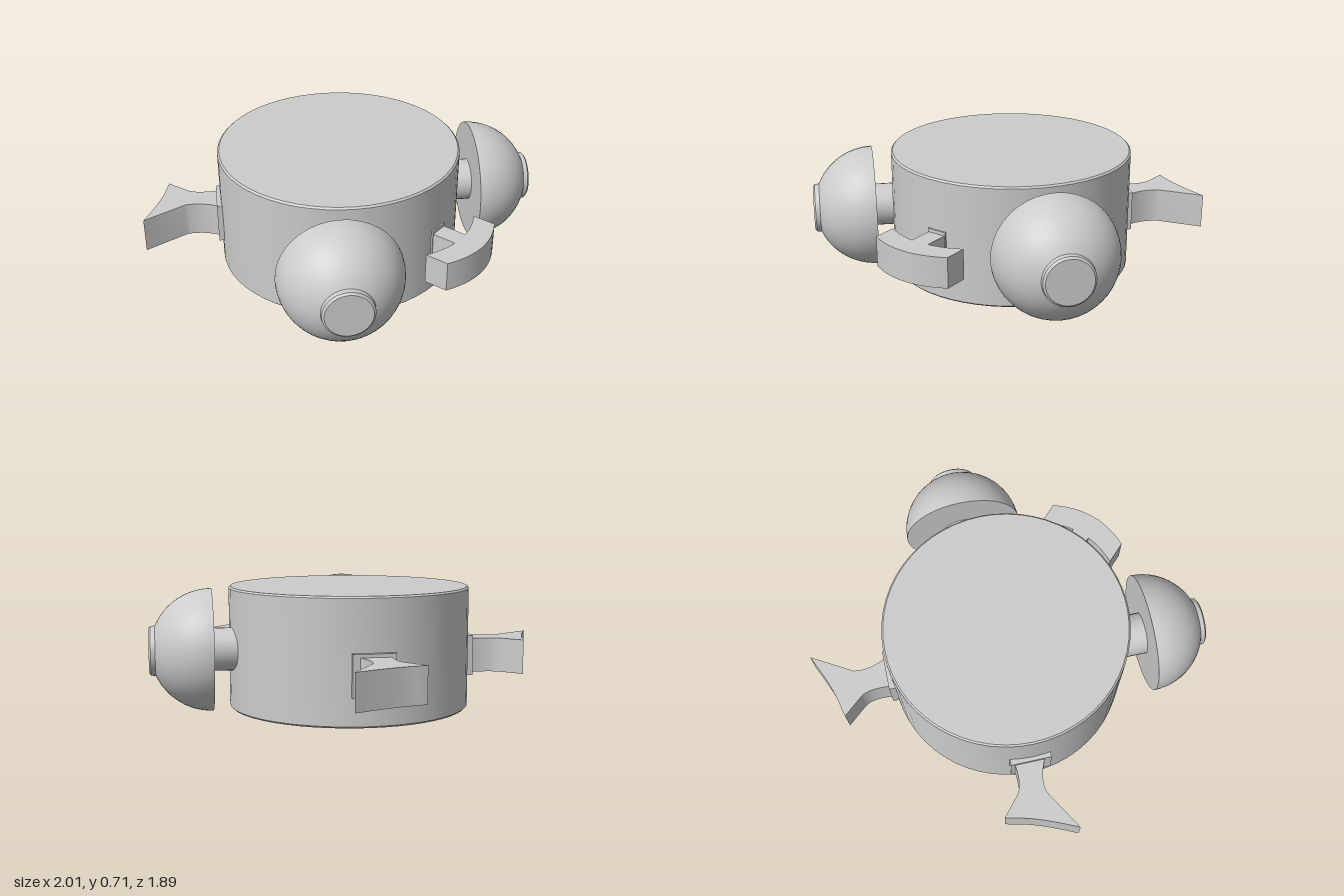
import * as THREE from 'three';
import { toCreasedNormals } from 'three/addons/utils/BufferGeometryUtils.js';

const grey = new THREE.MeshStandardMaterial({ color: 0xcccccc });
const CZ = -0.06; // z of the case centre
const FLOOR = 0.1; // height of the recessed dial

function part(name, geometry, parent) {
  const mesh = new THREE.Mesh(geometry, grey);
  mesh.name = name;
  parent.add(mesh);
  return mesh;
}

const lathe = (pts, sides) =>
  toCreasedNormals(new THREE.LatheGeometry(pts.map(p => new THREE.Vector2(...p)), sides), 0.5);

// Prism from a plan outline in (x, z), between two heights
function plan(shape, y0, y1) {
  const g = new THREE.ExtrudeGeometry(shape, { depth: y1 - y0, bevelEnabled: false, curveSegments: 12 });
  g.rotateX(Math.PI / 2).translate(0, y1, 0);
  return toCreasedNormals(g, 0.5);
}

export function createModel() {
  const model = new THREE.Group();
  model.name = 'alarmClock';

  // Round case lying on its face, dial recessed underneath
  part('case', lathe([[0, FLOOR], [0.645, FLOOR], [0.645, 0], [0.703, 0], [0.713, 0.01],
    [0.713, 0.705], [0.703, 0.715], [0, 0.715]], 56), model).position.z = CZ;

  // Dial: hub, hands and four hour rings
  const dial = new THREE.Group();
  dial.name = 'dial';
  dial.position.set(0, FLOOR, CZ);
  model.add(dial);
  part('hub', new THREE.CylinderGeometry(0.08, 0.08, 0.09, 24), dial).position.y = -0.035;
  for (const [name, length, angle] of [['hourHand', 0.28, 0], ['minuteHand', 0.36, -Math.PI / 2]]) {
    const hand = new THREE.Group();
    hand.name = name;
    hand.rotation.y = angle;
    dial.add(hand);
    part('handBar', new THREE.BoxGeometry(length, 0.04, 0.035), hand).position.set(length / 2, -0.03, 0);
    const tip = new THREE.Shape();
    tip.moveTo(length - 0.06, -0.06);
    tip.lineTo(length + 0.06, 0);
    tip.lineTo(length - 0.06, 0.06);
    part('handTip', plan(tip, -0.06, 0), hand);
  }
  for (let i = 0; i < 4; i++) {
    const a = i * Math.PI / 2;
    const ring = part('hourRing', new THREE.TorusGeometry(0.05, 0.022, 8, 20), dial);
    ring.rotation.x = Math.PI / 2;
    ring.position.set(0.48 * Math.cos(a), -0.01, 0.48 * Math.sin(a));
    const pin = part('hourPin', new THREE.CylinderGeometry(0.018, 0.018, 0.05, 10), dial);
    pin.position.copy(ring.position);
  }

  // Hammer: stem and curved head
  const head = new THREE.Shape();
  head.moveTo(-0.25, 0.88);
  head.quadraticCurveTo(0, 1.015, 0.25, 0.88);
  head.lineTo(0.25, 0.74);
  head.quadraticCurveTo(0, 0.875, -0.25, 0.74);
  part('hammerHead', plan(head, 0.215, 0.395), model);
  part('hammerStem', new THREE.BoxGeometry(0.11, 0.18, 0.26), model).position.set(0, 0.305, 0.71);
  part('hammerCollar', new THREE.BoxGeometry(0.12, 0.22, 0.06), model).position.set(0, 0.305, 0.63);

  // Dome profile with a flat cap
  const dome = [[0, 0], [0.355, 0]];
  for (let i = 1; i <= 12; i++) {
    const a = i / 12 * 1.15;
    dome.push([0.355 * Math.cos(a), 0.355 * Math.sin(a)]);
  }
  dome.push([0.142, 0.35], [0.13, 0.36], [0, 0.36]);

  for (const s of [1, -1]) {
    // Bell on its post
    const bell = new THREE.Group();
    bell.name = s > 0 ? 'leftBell' : 'rightBell';
    bell.position.set(s * 0.648, 0.36, 0.45);
    bell.quaternion.setFromUnitVectors(new THREE.Vector3(0, 1, 0),
      new THREE.Vector3(s, 0, 1).normalize());
    model.add(bell);
    part('bellDome', lathe(dome, 40), bell);
    part('bellPost', new THREE.CylinderGeometry(0.125, 0.125, 0.26, 28), bell).position.y = -0.125;

    // Flared foot with a base plate
    const foot = new THREE.Shape();
    foot.moveTo(s * 0.35, -0.57);
    foot.lineTo(s * 0.42, -0.64);
    foot.quadraticCurveTo(s * 0.54, -0.73, s * 0.545, -0.8);
    foot.lineTo(s * 0.555, -0.945);
    foot.lineTo(s * 0.59, -0.925);
    foot.quadraticCurveTo(s * 0.7, -0.845, s * 0.945, -0.76);
    foot.lineTo(s * 0.675, -0.69);
    foot.quadraticCurveTo(s * 0.6, -0.64, s * 0.565, -0.53);
    foot.lineTo(s * 0.49, -0.45);
    part(s > 0 ? 'leftFoot' : 'rightFoot', plan(foot, 0.185, 0.39), model);
    const plate = part('footPlate', new THREE.BoxGeometry(0.24, 0.24, 0.1), model);
    plate.position.set(s * 0.475, 0.29, -0.555);
    plate.rotation.y = -s * Math.PI / 4;
  }
  return model;
}
